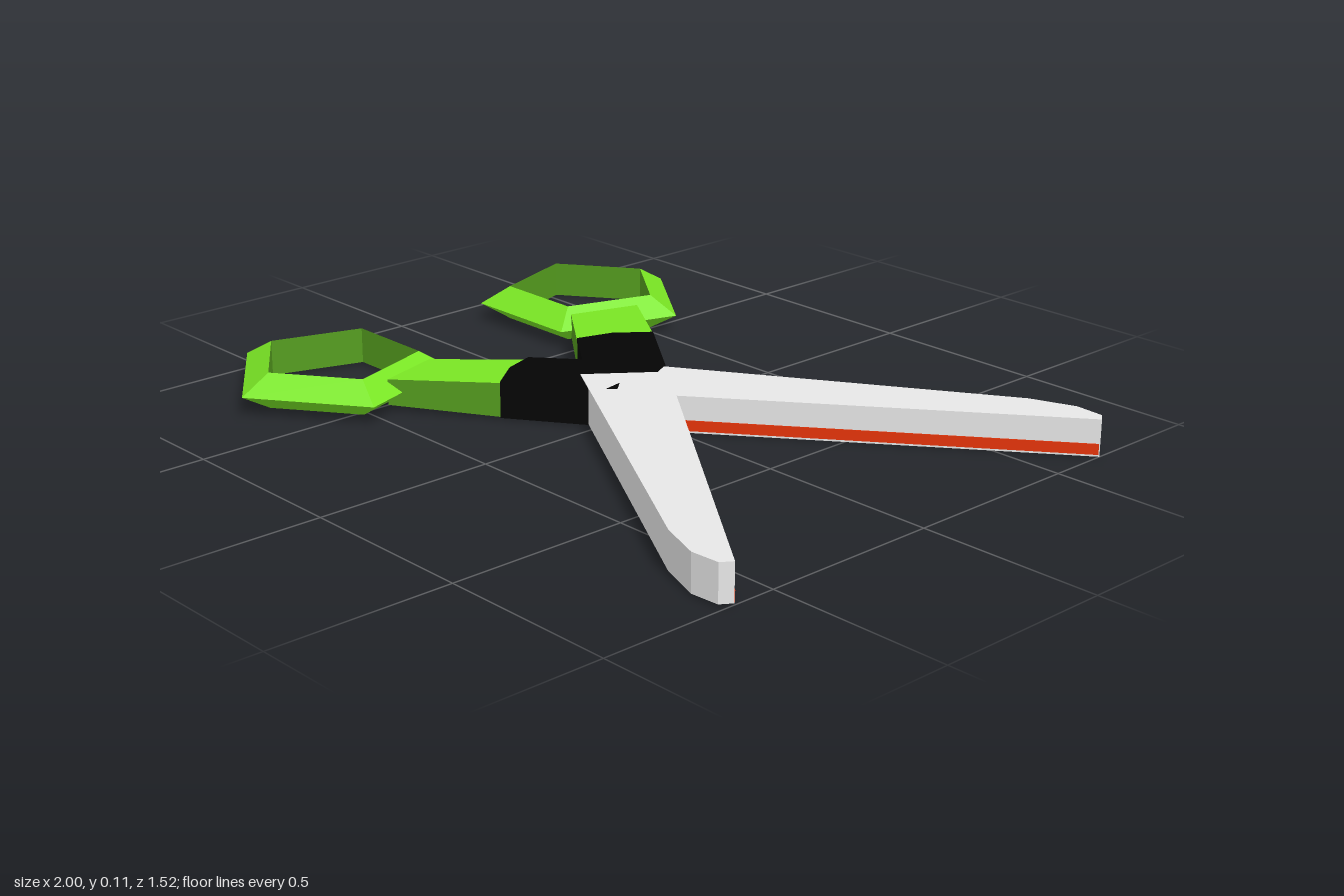
import * as THREE from 'three';

const mat = (name, color) => {
  const m = new THREE.MeshStandardMaterial({ color, flatShading: true });
  m.name = name;
  return m;
};

// Flat prism from an [x, z] outline; half(x) is its half thickness about y = mid.
// An array of two materials colours the caps and the sides.
function prism(name, outline, mid, half, material) {
  const shape = new THREE.Shape(outline.map(([x, z]) => new THREE.Vector2(x, z)));
  const geo = new THREE.ExtrudeGeometry(shape, { depth: 1, bevelEnabled: false });
  geo.rotateX(Math.PI / 2);
  const p = geo.attributes.position;
  for (let i = 0; i < p.count; i++) {
    p.setY(i, mid + (p.getY(i) + 0.5) * 2 * half(p.getX(i)));
  }
  geo.computeVertexNormals();
  const mesh = new THREE.Mesh(geo, material);
  mesh.name = name;
  return mesh;
}

export function createModel() {
  const model = new THREE.Group();
  model.name = 'scissors';
  const steel = mat('steel', 0xe8e8e8);
  const green = mat('green grip', 0x7ae624);
  const darkGreen = mat('dark green grip', 0x549c1e);
  const black = mat('black collar', 0x040404);
  const red = mat('red edge', 0xe63408);
  const gripHalf = (x) => THREE.MathUtils.mapLinear(x, -0.5, -0.22, 0.034, 0.047);

  const halves = [
    {
      // blade pointing back, handle to the front
      mid: 0.053, ring: [-0.683, 0.057, 0.455], turn: -1, inner: [[0.16, 0], [0.998, -0.662]],
      blade: [[1, -0.665], [0.98, -0.69], [0.9, -0.695], [0.78, -0.65], [-0.12, -0.07], [0.03, 0.102]],
      collar: [[-0.22, 0.27], [-0.29, 0.18], [-0.32, 0.09], [-0.12, -0.08], [0.03, 0.09], [-0.02, 0.13]],
      grip: [[-0.22, 0.27], [-0.29, 0.18], [-0.32, 0.09], [-0.525, 0.265], [-0.465, 0.45]],
    },
    {
      // blade pointing front, handle to the back
      mid: 0.057, ring: [-0.713, 0.053, -0.457], turn: 1, inner: [[0.16, 0], [0.998, 0.618]],
      blade: [[1, 0.62], [0.98, 0.65], [0.9, 0.655], [0.78, 0.61], [-0.12, 0.08], [0.02, -0.103]],
      collar: [[-0.25, -0.3], [-0.32, -0.21], [-0.35, -0.11], [-0.11, 0.07], [0, -0.08], [-0.03, -0.14]],
      grip: [[-0.25, -0.3], [-0.32, -0.21], [-0.35, -0.11], [-0.56, -0.27], [-0.49, -0.46]],
    },
  ];

  halves.forEach((h, i) => {
    const side = new THREE.Group();
    side.name = i === 0 ? 'backBladeHalf' : 'frontBladeHalf';
    side.add(prism('blade', h.blade, h.mid, () => 0.05, steel));
    side.add(prism('collar', h.collar, 0.055, () => 0.05, black));
    side.add(prism('grip', h.grip, 0.055, gripHalf, [green, darkGreen]));

    // finger ring: five sides, triangular section, darker inner wall
    const ringGeo = new THREE.TorusGeometry(0.248, 0.057, 3, 5);
    ringGeo.rotateZ(h.turn * Math.PI / 2).rotateX(-Math.PI / 2);
    [0, 1, 0].forEach((m, j) => ringGeo.addGroup(j * 30, 30, m));
    const ring = new THREE.Mesh(ringGeo, [green, darkGreen]);
    ring.name = 'fingerRing';
    ring.position.set(...h.ring);
    side.add(ring);

    // thin red cutting edge low on the inner face, almost flush with it
    const [[x0, z0], [x1, z1]] = h.inner;
    const edge = new THREE.Mesh(new THREE.BoxGeometry(Math.hypot(x1 - x0, z1 - z0), 0.029, 0.004), red);
    edge.name = 'cuttingEdge';
    const inset = i === 0 ? -0.001 : 0.001;
    edge.position.set((x0 + x1) / 2, 0.023, (z0 + z1) / 2 + inset);
    edge.rotation.y = -Math.atan2(z1 - z0, x1 - x0);
    side.add(edge);
    model.add(side);
  });

  // small dark mark at the pivot
  model.add(prism('pivotMark', [[0, 0.05], [0.03, 0.085], [0.01, 0.105]], 0.106, () => 0.002, black));
  return model;
}
